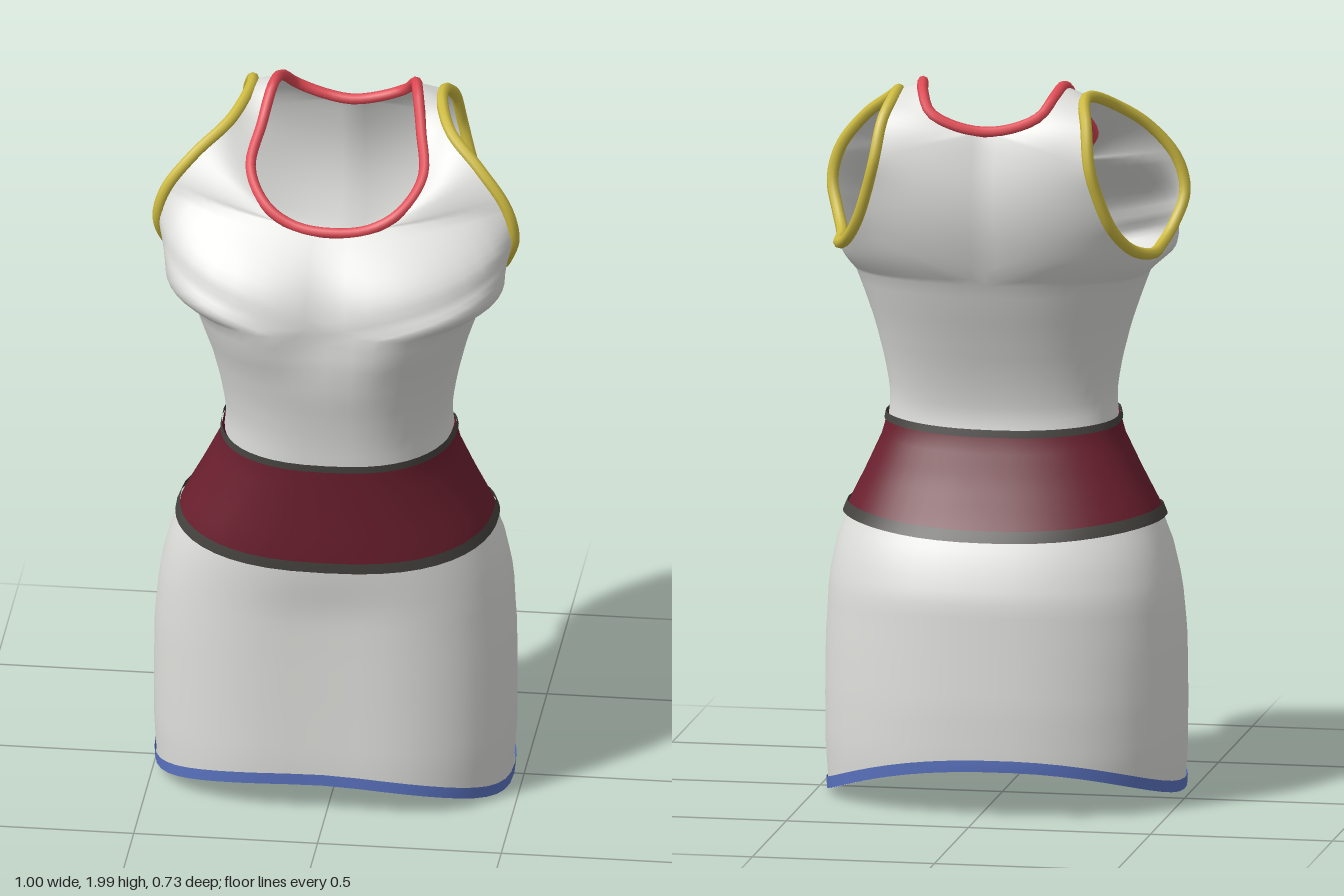
import * as THREE from 'three';
import { mergeGeometries, mergeVertices } from 'three/addons/utils/BufferGeometryUtils.js';

const V = (x, y, z) => new THREE.Vector3(x, y, z);
const mat = (name, color, side = THREE.DoubleSide) =>
  Object.assign(new THREE.MeshStandardMaterial({ color, side }), { name });
const SEG = 48; // points around the body
const RING_Y = 1.45; // where the plain rings end and the armhole panels begin

// Body profile: height, half width, front z, back z
const PROFILE = [
  [0, 0.48, 0.312, -0.352], [0.15, 0.49, 0.314, -0.364], [0.3, 0.491, 0.308, -0.362],
  [0.45, 0.489, 0.303, -0.352], [0.6, 0.478, 0.3, -0.342], [0.7, 0.456, 0.303, -0.305],
  [0.8, 0.418, 0.305, -0.248], [0.9, 0.366, 0.305, -0.198], [1, 0.318, 0.306, -0.156],
  [1.06, 0.306, 0.308, -0.143], [1.12, 0.306, 0.312, -0.15], [1.2, 0.32, 0.324, -0.17],
  [1.3, 0.345, 0.35, -0.203], [1.38, 0.372, 0.38, -0.232], [1.45, 0.398, 0.394, -0.255],
];

// Point on the body at angle a (0 = front, towards +x) and height y
function body(a, y, grow = 0) {
  let i = 0;
  while (i < PROFILE.length - 2 && PROFILE[i + 1][0] < y) i++;
  const p = PROFILE[i], q = PROFILE[i + 1], t = (y - p[0]) / (q[0] - p[0]);
  const [w, f, b] = [1, 2, 3].map((k) => p[k] + (q[k] - p[k]) * t);
  const s = Math.abs(Math.sin(a)) < 1e-9 ? 0 : Math.sin(a), c = Math.cos(a);
  const e = c > 0 ? 0.8 : 0.88; // the back is rounder than the front
  const pow = (v) => Math.sign(v) * Math.abs(v) ** e;
  const x = pow(s) * (w + grow);
  let z = pow(c) * (c > 0 ? f + grow : -b + grow);
  if (c > 0) {
    // hollow between the bust, and a shallow one down the skirt front
    z -= 0.062 * Math.exp(-((x / 0.13) ** 2)) * Math.exp(-(((y - 1.46) / 0.13) ** 2));
    z -= 0.018 * Math.exp(-((x / 0.16) ** 2)) * THREE.MathUtils.smoothstep(0.75 - y, 0, 0.2);
  }
  return V(x - 0.012 * Math.min(1, Math.max(0, (1 - y) * 2)), y, z);
}

// Surface through rows of points
function sheet(rows) {
  const n = rows[0].length, idx = [];
  for (let i = 0; i < rows.length - 1; i++)
    for (let j = 0; j < n - 1; j++) {
      const a = i * n + j, b = a + 1, c = a + n + 1, d = a + n;
      idx.push(a, b, c, a, c, d);
    }
  const g = new THREE.BufferGeometry().setFromPoints(rows.flat());
  g.setIndex(idx);
  return g;
}
function smooth(...parts) {
  const g = mergeVertices(mergeGeometries(parts), 1e-4);
  g.computeVertexNormals();
  return g;
}

// Band of the body between two heights, each a function of the angle
function band(y0, y1, steps, grow = 0) {
  const rows = [];
  for (let i = 0; i <= steps; i++)
    rows.push(Array.from({ length: SEG + 1 }, (_, j) => {
      const a = (j / SEG) * Math.PI * 2;
      return body(a, y0(a) + ((y1(a) - y0(a)) * i) / steps, grow);
    }));
  return sheet(rows);
}
const raise = (yAt, dy) => (a) => yAt(a) + dy;
const hemY = (a) => 0.021 + 0.088 * Math.cos(a) ** 2 - 0.025 * Math.cos(a) - 0.012 * Math.sin(a);
const beltLow = (a) => 0.75 + 0.04 * Math.sin(a) ** 2 - 0.01 * Math.cos(a);
const beltHigh = (a) => 1.03 + 0.008 * Math.cos(a) + 0.012 * Math.sin(a) ** 2;

// Armhole from the shoulder, down the front, under the arm, up the back
const ARM = [
  [0.262, 1.955, -0.12], [0.302, 1.915, 0], [0.388, 1.845, 0.072], [0.462, 1.75, 0.1], [0.484, 1.66, 0.095],
  [0.462, 1.58, 0.055], [0.44, 1.535, 0], [0.43, 1.525, -0.1], [0.39, 1.555, -0.2], [0.35, 1.62, -0.265],
  [0.315, 1.72, -0.3], [0.295, 1.8, -0.308], [0.28, 1.9, -0.268], [0.262, 1.95, -0.2],
].map((p) => V(...p));
// Half neckline from front centre over the shoulder to back centre
const NECK = [
  [0, 1.695, 0.205], [0.1, 1.705, 0.195], [0.18, 1.745, 0.165], [0.235, 1.815, 0.08], [0.217, 1.9, -0.03],
  [0.195, 1.982, -0.12], [0.18, 1.965, -0.2], [0.15, 1.92, -0.25], [0.08, 1.888, -0.262], [0, 1.875, -0.26],
].map((p) => V(...p));
const flip = (p) => V(-p.x, p.y, p.z);
const loop = (pts) => new THREE.CatmullRomCurve3(pts, true, 'centripetal');
const armCurve = loop(ARM);
const neckCurve = loop([...NECK, ...NECK.slice(1, -1).reverse().map(flip)]);
const armAt = (k) => armCurve.getPoint((k / 14) % 1);
const neckAt = (k) => {
  const p = neckCurve.getPoint(k / 18);
  if (k === 0 || k === 9) p.x = 0;
  return p;
};

// Panel around one armhole, from the neckline, centre lines and bust ring to the arm edge
function armholePanel() {
  const outer = [], inner = [];
  const run = (steps, k0, k1, outerAt) => {
    for (let i = outer.length ? 1 : 0; i <= steps; i++) {
      outer.push(outerAt(i / steps));
      inner.push(armAt(k0 + ((k1 - k0) * i) / steps));
    }
  };
  const centre = (from, to, bow) => (t) => {
    const p = from.clone().lerp(to, t);
    p.z += bow * Math.sin(Math.PI * t);
    return p;
  };
  const front = body(0, RING_Y), back = body(Math.PI, RING_Y);
  run(14, 0, 3, (t) => neckAt(5 - 5 * t));
  run(8, 3, 4.2, centre(neckAt(0), front, 0.03));
  run(SEG / 2, 4.2, 9, (t) => body(Math.PI * t, RING_Y));
  run(10, 9, 11, centre(back, neckAt(9), -0.045));
  run(14, 11, 14, (t) => neckAt(9 - 4 * t));
  const rows = [], steps = 10;
  for (let i = 0; i <= steps; i++) {
    const t = i / steps;
    rows.push(outer.map((o, j) => {
      const p = o.clone().lerp(inner[j], t);
      const out = V(p.x, 0, p.z + 0.05).normalize();
      // full over the bust, nearly flat beside the neckline
      const low = 1 - THREE.MathUtils.smoothstep(o.y, RING_Y, 1.72);
      const fullness = 0.05 + low * (o.z > 0 ? 0.14 * Math.min(1, o.z / 0.2) : 0) + low * 0.02;
      return p.addScaledVector(out, fullness * o.distanceTo(inner[j]) * Math.sin(Math.PI * t));
    }));
  }
  return rows;
}

export function createModel() {
  const group = new THREE.Group();
  group.name = 'dress';
  const cloth = mat('white cloth', 0xdededb);
  const sash = mat('maroon sash', 0x6a1f2e);
  const edge = mat('charcoal edging', 0x45433f);
  const blue = mat('blue hem trim', 0x5b74c2);
  const red = mat('red neck trim', 0xe04a54, THREE.FrontSide);
  const yellow = mat('yellow arm trim', 0xcfbc42, THREE.FrontSide);
  const add = (name, geometry, material) => {
    const m = new THREE.Mesh(geometry, material);
    m.name = name;
    group.add(m);
  };
  const cord = (name, curve, radius, material) =>
    add(name, new THREE.TubeGeometry(curve, 72, radius, 8, true), material);
  // flat ribbon with an outer and an inner face
  const ribbon = (name, yAt, height, grow, material) =>
    [['Outer', grow], ['Inner', -0.004]].forEach(([face, g]) =>
      add(name + face, smooth(band(yAt, raise(yAt, height), 2, g)), material));

  // Cloth
  add('skirt', smooth(band(hemY, beltLow, 18)), cloth);
  add('waistband', smooth(band(beltLow, beltHigh, 10, 0.006)), sash);
  const panel = armholePanel();
  const mirrored = panel.map((row) => row.map(flip).reverse());
  add('bodice', smooth(band(beltHigh, () => RING_Y, 12), sheet(panel), sheet(mirrored)), cloth);

  // Trims
  ribbon('hemTrim', hemY, 0.032, 0.005, blue);
  ribbon('waistbandLowerEdge', raise(beltLow, -0.012), 0.03, 0.012, edge);
  ribbon('waistbandUpperEdge', raise(beltHigh, -0.008), 0.02, 0.01, edge);
  cord('neckTrim', neckCurve, 0.015, red);
  cord('leftArmholeTrim', armCurve, 0.016, yellow);
  cord('rightArmholeTrim', loop(ARM.map(flip)), 0.016, yellow);
  return group;
}
